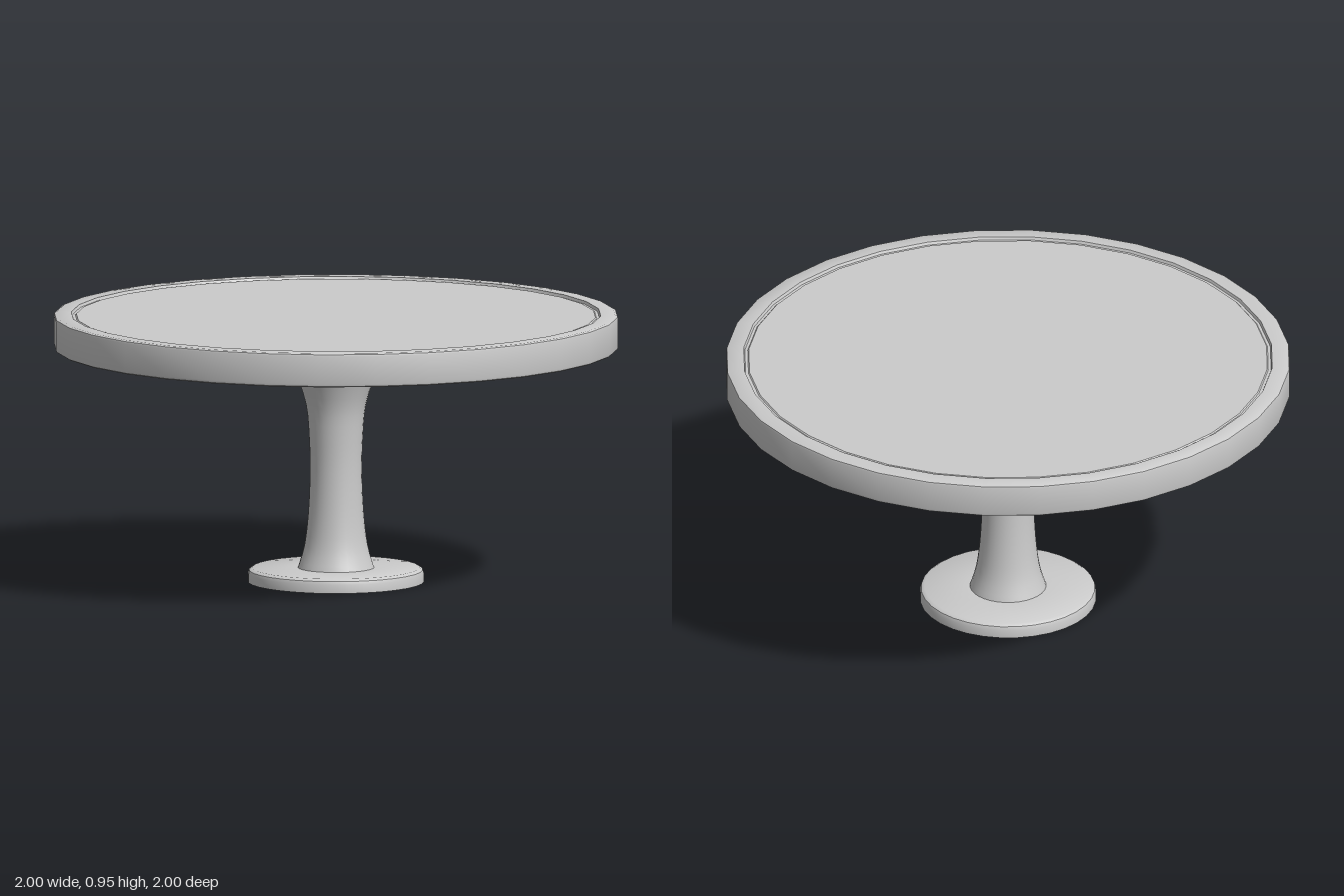
import * as THREE from 'three';
import { toCreasedNormals } from 'three/addons/utils/BufferGeometryUtils.js';

const material = new THREE.MeshStandardMaterial({ color: 0xcccccc, side: THREE.DoubleSide });

// Turned part: profile is a list of [radius, height], running up the outside
function turned(name, profile, segments = 32) {
  const points = profile.map(([r, y]) => new THREE.Vector2(r, y));
  const geometry = toCreasedNormals(new THREE.LatheGeometry(points, segments), 0.65);
  const mesh = new THREE.Mesh(geometry, material);
  mesh.name = name;
  return mesh;
}

export function createModel() {
  const group = new THREE.Group();
  group.name = 'pedestalStand';

  // Foot ring, open in the middle
  group.add(turned('foot', [
    [0.135, 0.05], [0.133, 0], [0.312, 0], [0.312, 0.03],
    [0.308, 0.042], [0.296, 0.05], [0.135, 0.05],
  ]));

  // Hollow waisted stem flaring into the collar
  const waist = new THREE.SplineCurve([
    [0.135, 0.05], [0.112, 0.13], [0.098, 0.25], [0.092, 0.4], [0.096, 0.53],
    [0.106, 0.63], [0.136, 0.73], [0.155, 0.77], [0.2, 0.797],
  ].map(([r, y]) => new THREE.Vector2(r, y)));
  group.add(turned('stem', waist.getPoints(24).map((p) => [p.x, p.y])));

  // Thin disc under the plate
  group.add(turned('collar', [
    [0.19, 0.797], [0.4, 0.797], [0.41, 0.803], [0.41, 0.832], [0, 0.832],
  ]));

  // Shallow plate with a hanging skirt, open below, and a fine groove inside the rim
  group.add(turned('plate', [
    [0.992, 0.834], [0.998, 0.838], [1, 0.846], [1, 0.944], [0.998, 0.951], [0.99, 0.955],
    [0.938, 0.955], [0.934, 0.945], [0.924, 0.945], [0.92, 0.949], [0, 0.949],
  ]));

  return group;
}
